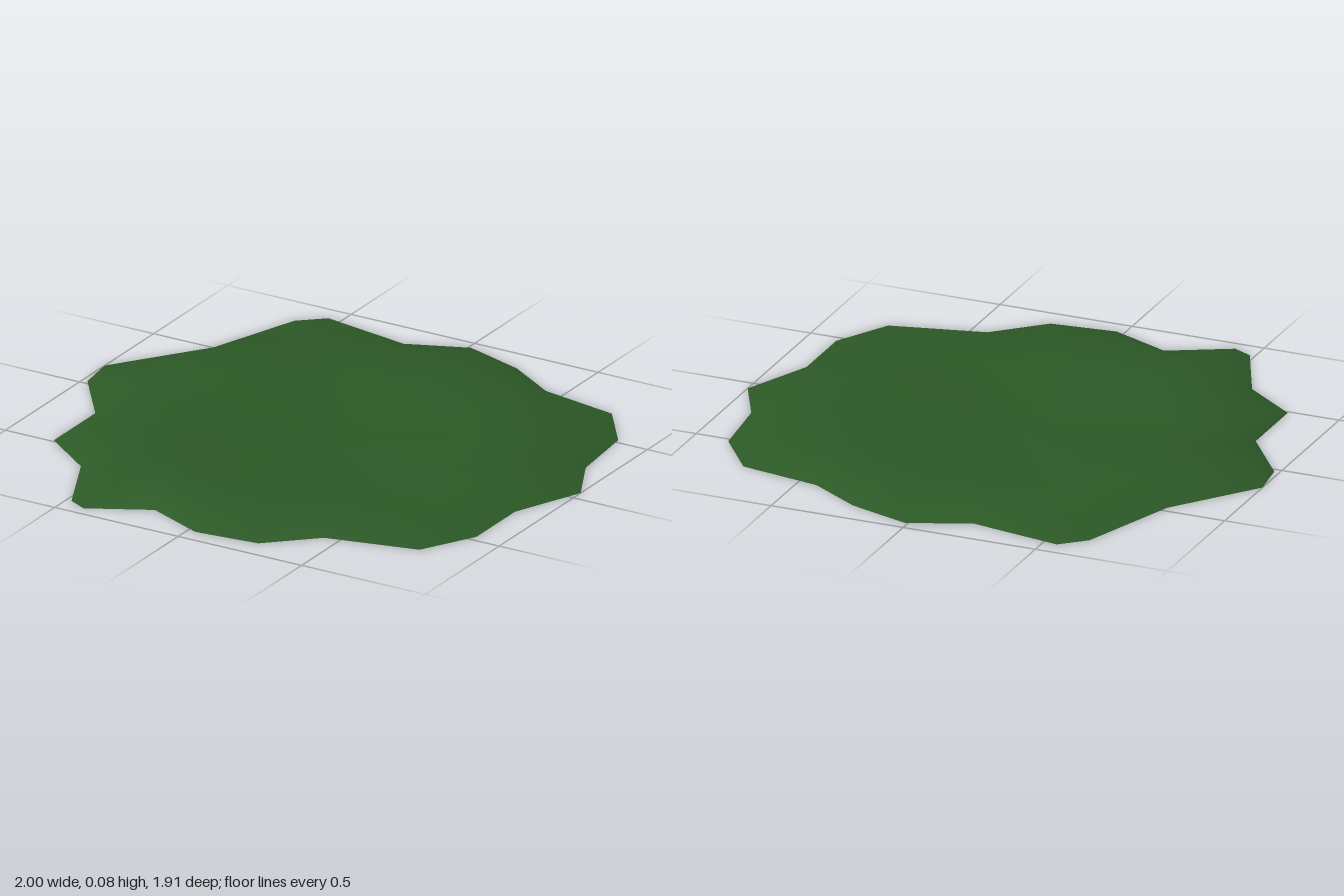
import * as THREE from 'three';

// Ragged outline at ground level: x, z and the height of the rim inside it
const OUTLINE = [
  [-0.55, -0.93, 0.04], [-0.21, -0.87, 0.04], [0.01, -0.96, 0.04], [0.24, -0.885, 0.04],
  [0.43, -0.765, 0.04], [0.73, -0.71, 0.04], [0.87, -0.52, 0.05], [0.9, -0.25, 0.065],
  [1, -0.05, 0.057], [0.89, 0.21, 0.063], [0.89, 0.47, 0.038], [0.78, 0.67, 0.035],
  [0.44, 0.75, 0.038], [0.27, 0.91, 0.04], [0.03, 0.935, 0.04], [-0.19, 0.84, 0.045],
  [-0.41, 0.955, 0.057], [-0.48, 0.92, 0.057], [-0.61, 0.64, 0.05], [-0.81, 0.49, 0.038],
  [-0.81, 0.21, 0.045], [-0.98, -0.02, 0.055], [-1, -0.17, 0.057], [-0.77, -0.47, 0.075],
  [-0.64, -0.85, 0.045],
];
const RIM_RADIUS = 0.75;
const CENTRE_HEIGHT = 0.012;
const BOWL_STEPS = [0.35, 0.7, 1]; // rings of the shallow bowl, as parts of the rim radius

function groundGeometry() {
  const n = OUTLINE.length;
  const positions = [0, CENTRE_HEIGHT, 0];
  const index = [];

  // Shallow bowl rising to an uneven rim
  for (const t of BOWL_STEPS) {
    for (const [x, z, h] of OUTLINE) {
      const k = (RIM_RADIUS * t) / Math.hypot(x, z);
      positions.push(x * k, CENTRE_HEIGHT + (h - CENTRE_HEIGHT) * t ** 1.5, z * k);
    }
  }
  // Outer slope running down to the ragged edge
  for (const [x, z] of OUTLINE) positions.push(x, 0, z);

  for (let i = 0; i < n; i++) {
    const j = (i + 1) % n;
    index.push(0, 1 + j, 1 + i);
    for (let r = 0; r < BOWL_STEPS.length; r++) {
      const a = 1 + r * n;
      const b = a + n;
      index.push(a + i, a + j, b + i, a + j, b + j, b + i);
    }
  }

  const geometry = new THREE.BufferGeometry();
  geometry.setAttribute('position', new THREE.Float32BufferAttribute(positions, 3));
  geometry.setIndex(index);
  geometry.computeVertexNormals();
  return geometry;
}

export function createModel() {
  const group = new THREE.Group();
  group.name = 'grassPatch';
  const grass = new THREE.MeshStandardMaterial({ color: 0x2d5a27, side: THREE.DoubleSide });
  const ground = new THREE.Mesh(groundGeometry(), grass);
  ground.name = 'grassGround';
  group.add(ground);
  return group;
}
